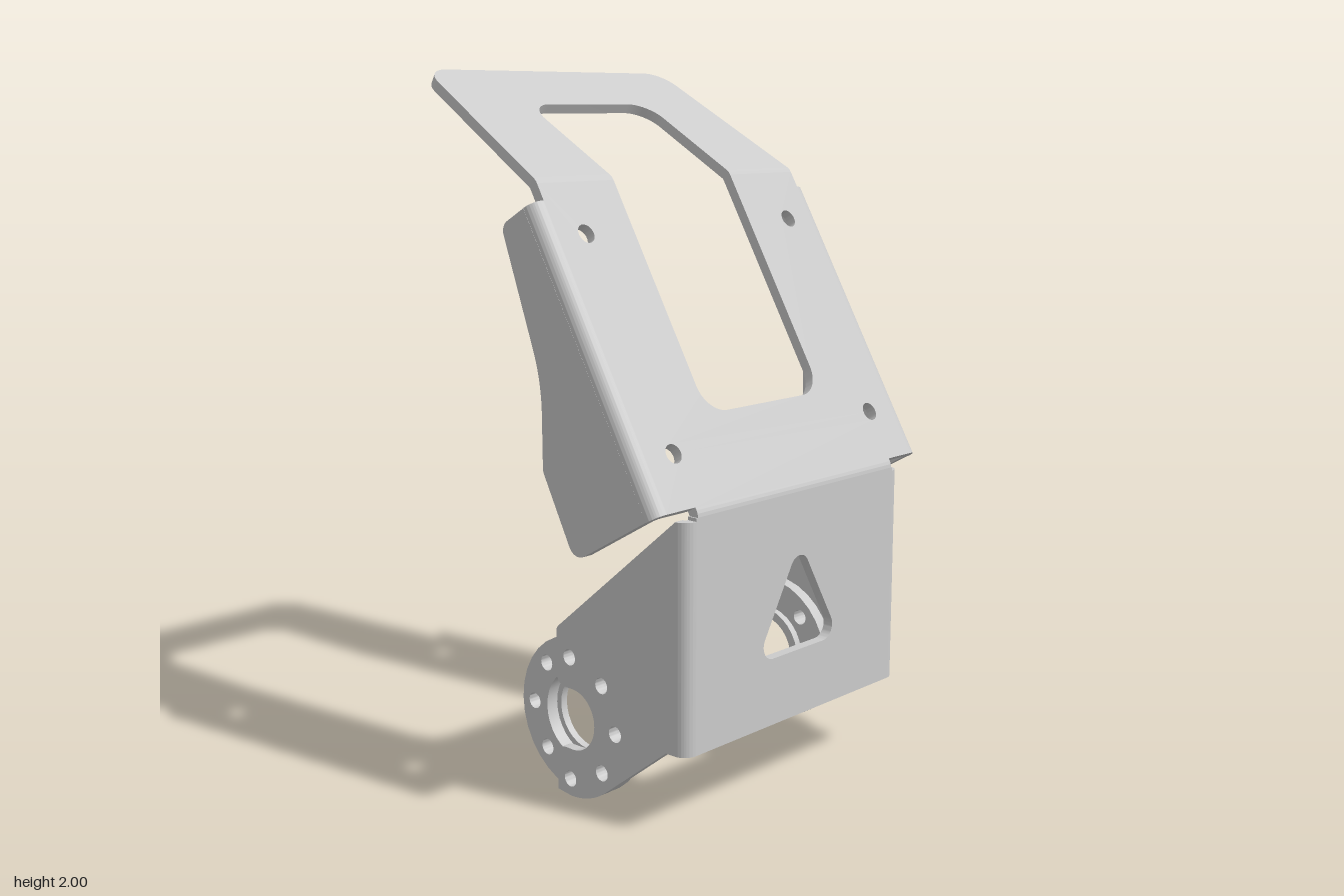
import * as THREE from 'three';
import { toCreasedNormals } from 'three/addons/utils/BufferGeometryUtils.js';

const T = 0.03, R = 0.04;                  // sheet thickness, outer bend radius
const SET = R * Math.tan(Math.PI / 12);    // setback of a 30 degree bend
const STEP = Math.PI / 6;
const material = new THREE.MeshStandardMaterial({ color: 0xcccccc });

// Polygon of [x, y, cornerRadius] points with rounded corners
function rounded(points, Type = THREE.Shape) {
  const path = new Type();
  const n = points.length;
  points.forEach(([x, y, r = 0], i) => {
    const p = new THREE.Vector2(x, y);
    const u = new THREE.Vector2(...points[(i + n - 1) % n].slice(0, 2)).sub(p).normalize();
    const v = new THREE.Vector2(...points[(i + 1) % n].slice(0, 2)).sub(p).normalize();
    const turn = Math.PI - Math.acos(THREE.MathUtils.clamp(u.dot(v), -1, 1));
    const d = r * Math.tan(turn / 2);
    const h = d - r * (4 / 3) * Math.tan(turn / 4);
    const at = (w, k) => p.clone().addScaledVector(w, k);
    const a = at(u, d), b = at(v, d), c1 = at(u, h), c2 = at(v, h);
    if (i === 0) path.moveTo(a.x, a.y); else path.lineTo(a.x, a.y);
    if (r > 0) path.bezierCurveTo(c1.x, c1.y, c2.x, c2.y, b.x, b.y);
  });
  path.closePath();
  return path;
}

function circle(x, y, r, Type = THREE.Path) {
  return new Type().absarc(x, y, r, 0, Math.PI * 2, false);
}

// Cross-section of a bend: sheet thickness swept around a centre
function bendShape(cx, cy, a0, a1) {
  const s = new THREE.Shape();
  s.absarc(cx, cy, R, a0, a1, false);
  s.absarc(cx, cy, R - T, a1, a0, true);
  s.closePath();
  return s;
}

function extrude(name, shape, depth, z = 0) {
  const g = new THREE.ExtrudeGeometry(shape, { depth, bevelEnabled: false, curveSegments: 16 });
  g.translate(0, 0, z);
  const mesh = new THREE.Mesh(toCreasedNormals(g, 0.5), material);
  mesh.name = name;
  return mesh;
}

// Direction along the sheet and its outward normal, for a lean angle
const along = a => new THREE.Vector3(-Math.sin(a), Math.cos(a), 0);
const outward = a => new THREE.Vector3(Math.cos(a), Math.sin(a), 0);

export function createModel() {
  const group = new THREE.Group();
  group.name = 'bentSheetBracket';
  const lowFold = new THREE.Vector3(0.495, 0.88, 0);
  const LEN = 0.96;
  const highFold = lowFold.clone().addScaledVector(along(STEP), LEN);

  // Flat panel drawn in (width, distance along sheet) coordinates
  const panel = (name, shape, origin, a) => {
    const m = extrude(name, shape, T, -T);
    m.geometry.applyMatrix4(new THREE.Matrix4()
      .makeBasis(new THREE.Vector3(0, 0, -1), along(a), outward(a)).setPosition(origin));
    group.add(m);
  };
  // Fold across the width, from z0 to z1
  const fold = (name, corner, a, z0, z1) => {
    const c = corner.clone().addScaledVector(outward(a), -R).addScaledVector(along(a), -SET);
    group.add(extrude(name, bendShape(c.x, c.y, a, a + STEP), z1 - z0, z0));
  };
  // Rounded edges joining a panel to its two side plates
  const sideBends = (name, half, a, s0, s1) => {
    for (const side of [1, -1]) {
      const a0 = side > 0 ? 0 : Math.PI / 2;
      const m = extrude(name, bendShape(side * (half - R), -R, a0, a0 + Math.PI / 2), s1 - s0, s0);
      m.geometry.applyMatrix4(new THREE.Matrix4()
        .makeBasis(new THREE.Vector3(0, 0, 1), outward(a), along(a)).setPosition(lowFold));
      group.add(m);
    }
  };

  // Upright back panel with triangular cutout
  const upright = rounded([[-0.42, -0.65], [0.42, -0.65], [0.42, -SET], [-0.42, -SET]]);
  upright.holes.push(rounded([[-0.179, -0.46, 0.04], [0.179, -0.46, 0.04], [0, -0.15, 0.04]], THREE.Path));
  panel('uprightPanel', upright, lowFold, 0);
  sideBends('uprightSideBend', 0.46, 0, -0.65, -0.02);
  fold('lowerFold', lowFold, 0, -0.415, 0.415);

  // Leaning panel, with the lower part of the window and four screw holes
  const end = LEN - SET;
  const leaning = rounded([
    [-0.415, SET], [0.415, SET], [0.415, 0.018], [0.52, 0.018], [0.52, end], [0.24, end],
    [0.24, 0.254, 0.08], [-0.24, 0.254, 0.08], [-0.24, end], [-0.52, end], [-0.52, 0.018], [-0.415, 0.018],
  ]);
  for (const x of [-0.417, 0.417])
    for (const s of [0.167, 0.797]) leaning.holes.push(circle(x, s, 0.027));
  panel('leaningPanel', leaning, lowFold, STEP);
  sideBends('leaningSideBend', 0.56, STEP, 0.018, 0.9);
  fold('upperFold', highFold, STEP, 0.24, 0.52);
  fold('upperFold', highFold, STEP, -0.52, -0.24);

  // Top flange, with the upper part of the window
  panel('topFlange', rounded([
    [0.24, SET], [0.52, SET], [0.474, 0.58, 0.08], [-0.474, 0.58, 0.08], [-0.52, SET], [-0.24, SET],
    [-0.24, 0.387, 0.08], [0.24, 0.387, 0.08],
  ]), highFold, 2 * STEP);

  // Side wings of the leaning panel
  const wing = rounded([
    [0.451, 0.876], [0.01, 1.639], [-0.078, 1.59, 0.03], [0.07, 1.19, 0.5],
    [0.072, 0.95, 0.03], [0.19, 0.725, 0.04],
  ]);

  // Lower arms, slotted around the hub
  const hx = 0.058, hy = 0.231;
  const arm = rounded([
    [0.455, 0.23], [0.455, 0.858], [0.008, 0.484, 0.02], [0.008, 0.319, 0.03],
    [0.155, 0.319, 0.087], [0.155, 0.143, 0.087], [0.008, 0.143, 0.03],
    [0.008, 0.011], [0.058, 0.005], [0.136, 0.005, 0.225], [0.425, 0.23],
  ]);
  // Hub ring with eight screw holes, and a raised lip on its inner side
  const ring = circle(hx, hy, 0.226, THREE.Shape);
  ring.holes.push(circle(hx, hy, 0.125));
  for (let i = 0; i < 8; i++) {
    const a = i * Math.PI / 4;
    const x = hx + 0.177 * Math.cos(a), y = hy + 0.177 * Math.sin(a);
    ring.holes.push(circle(x, y, 0.023));
    if (x > 0.03) arm.holes.push(circle(x, y, 0.023));
  }
  const lip = circle(hx, hy, 0.135, THREE.Shape);
  lip.holes.push(circle(hx, hy, 0.108));

  // Mirrored pairs: inner and outer z of each plate
  for (const [name, shape, z0, z1] of [
    ['sideWing', wing, 0.53, 0.56], ['lowerArm', arm, 0.43, 0.46],
    ['hubRing', ring, 0.392, 0.43], ['hubLip', lip, 0.37, 0.392],
  ]) {
    group.add(extrude(name + 'Left', shape, z1 - z0, z0));
    group.add(extrude(name + 'Right', shape, z1 - z0, -z1));
  }
  return group;
}
